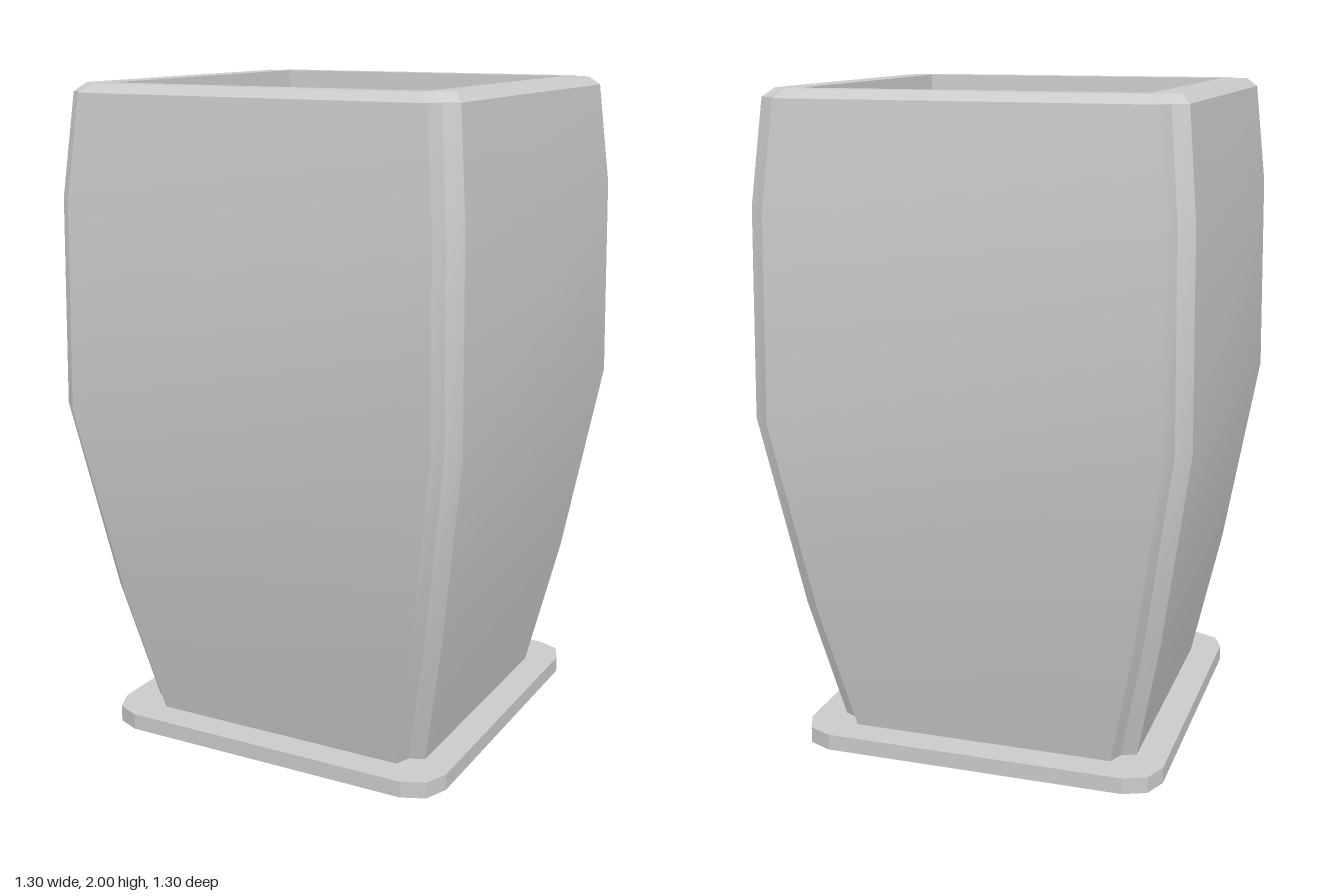
import * as THREE from 'three';
import { toCreasedNormals } from 'three/addons/utils/BufferGeometryUtils.js';

const grey = new THREE.MeshStandardMaterial({ color: 0xcccccc, side: THREE.DoubleSide });

// Repeat one corner's [x, z] points around the four corners.
function aroundCorners(corner) {
  const points = [];
  for (let i = 0; i < 4; i++) {
    for (const [x, z] of corner) {
      points.push([[x, z], [-z, x], [-x, -z], [z, -x]][i]);
    }
  }
  return points;
}

// Square of half width w with a small notch cut into each corner.
const notchedSquare = (w) =>
  aroundCorners([[w, w - 0.065], [w - 0.045, w - 0.045], [w - 0.065, w]]);

// Opening is a little deeper than wide.
const opening = (w) => [[w, w + 0.005], [-w, w + 0.005], [-w, -w - 0.018], [w, -w - 0.018]];

// Skin between stacked cross-sections; each ring is { y, points }.
function loft(rings, inward = false) {
  const n = rings[0].points.length;
  const positions = [];
  const indices = [];
  for (const { y, points } of rings) {
    for (const [x, z] of points) positions.push(x, y, z);
  }
  for (let r = 0; r < rings.length - 1; r++) {
    for (let i = 0; i < n; i++) {
      const a = r * n + i;
      const b = r * n + ((i + 1) % n);
      const c = a + n;
      const d = b + n;
      if (inward) indices.push(a, b, c, b, d, c);
      else indices.push(a, c, b, b, c, d);
    }
  }
  const geometry = new THREE.BufferGeometry();
  geometry.setAttribute('position', new THREE.Float32BufferAttribute(positions, 3));
  geometry.setIndex(indices);
  return toCreasedNormals(geometry, 0.5);
}

// Flat outline with a hole; after rotateX(-90 deg) shape y becomes -z.
function frameShape(outer, inner) {
  const toVectors = (points) => points.map(([x, z]) => new THREE.Vector2(x, -z));
  const shape = new THREE.Shape(toVectors(outer));
  shape.holes.push(new THREE.Path(toVectors(inner)));
  return shape;
}

// Uneven soil: a low level with smooth mounds [x, z, height, radius].
const mounds = [
  [-0.33, -0.46, 0.29, 0.15],
  [0.3, 0.34, 0.22, 0.2],
  [-0.33, 0.4, 0.14, 0.18],
  [0.05, -0.1, 0.12, 0.2],
  [0.3, -0.44, 0.1, 0.15],
];
function soilHeight(x, z) {
  let y = 1.45;
  for (const [mx, mz, h, r] of mounds) {
    y += h * Math.exp(-((x - mx) ** 2 + (z - mz) ** 2) / (r * r));
  }
  return y;
}

export function createModel() {
  const group = new THREE.Group();
  const add = (name, geometry) => {
    const mesh = new THREE.Mesh(geometry, grey);
    mesh.name = name;
    group.add(mesh);
    return mesh;
  };

  // Bulging body with notched corners and a bevelled top edge: [y, half width]
  const profile = [
    [0.05, 0.472], [0.45, 0.555], [1.05, 0.65], [1.67, 0.64], [1.975, 0.61], [2, 0.582],
  ];
  add('body', loft(profile.map(([y, w]) => ({ y, points: notchedSquare(w) }))));

  // Flat rim around the opening
  const rim = new THREE.ShapeGeometry(frameShape(notchedSquare(0.582), opening(0.5)));
  rim.rotateX(-Math.PI / 2).translate(0, 2, 0);
  add('rim', rim);

  // Slightly tapering inner walls
  add('innerWalls', loft([
    { y: 1.4, points: opening(0.465) },
    { y: 2, points: opening(0.5) },
  ], true));

  // Soil surface
  const soil = new THREE.PlaneGeometry(0.94, 0.965, 28, 28);
  soil.rotateX(-Math.PI / 2).translate(0, 0, -0.006);
  const p = soil.attributes.position;
  for (let i = 0; i < p.count; i++) p.setY(i, soilHeight(p.getX(i), p.getZ(i)));
  soil.computeVertexNormals();
  add('soil', soil);

  // Base plate with chamfered corners, open in the middle
  const plateOutline = aroundCorners([[0.565, 0.465], [0.535, 0.535], [0.465, 0.565]]);
  const plate = new THREE.ExtrudeGeometry(
    frameShape(plateOutline, notchedSquare(0.472)),
    { depth: 0.05, bevelEnabled: false },
  );
  plate.rotateX(-Math.PI / 2);
  add('basePlate', plate);

  return group;
}
